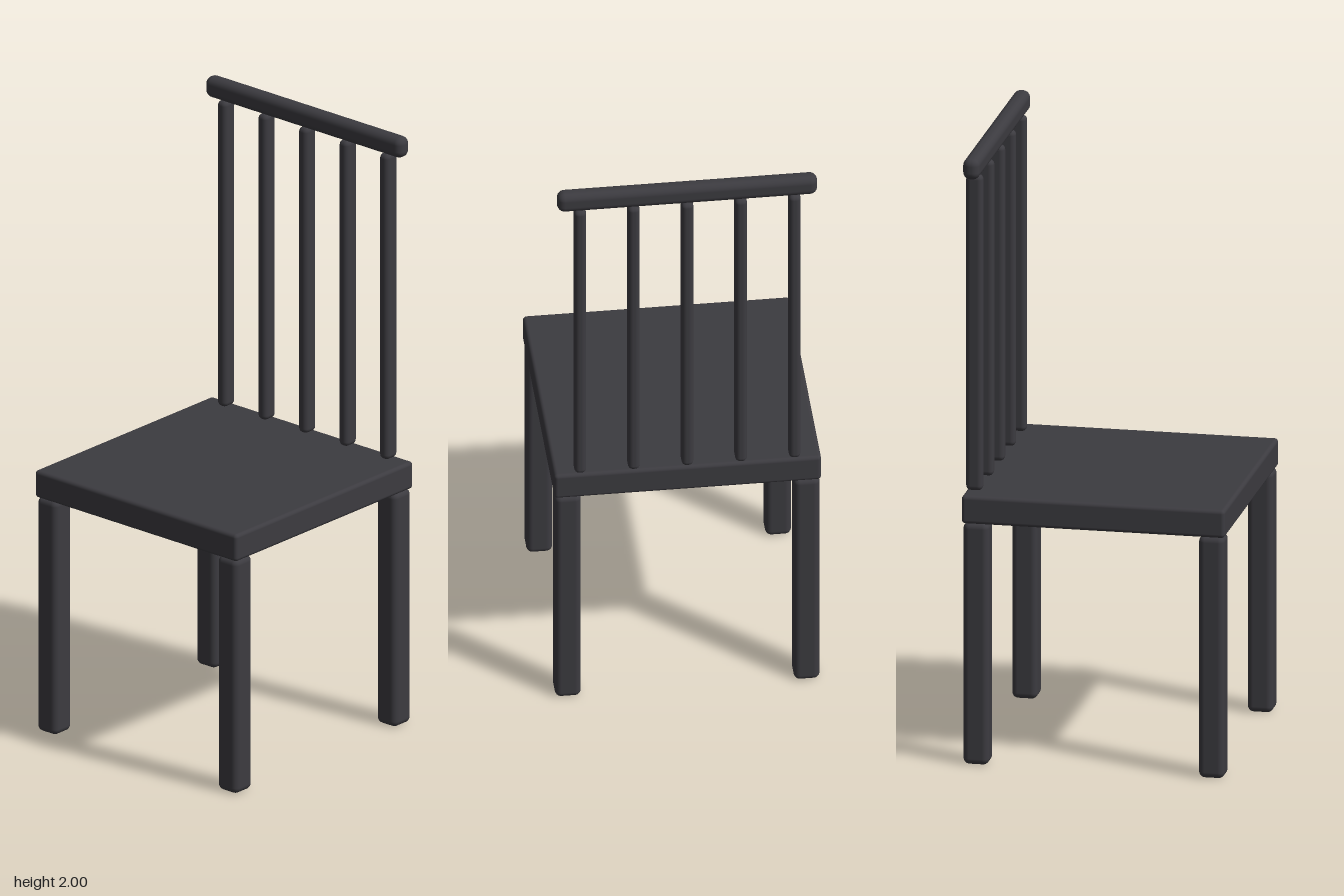
import * as THREE from 'three';
import { RoundedBoxGeometry } from 'three/addons/geometries/RoundedBoxGeometry.js';

export function createModel() {
  const chair = new THREE.Group();
  chair.name = 'chair';
  const paint = new THREE.MeshStandardMaterial({ color: 0x3c3b40 });

  // Rounded bar given by its size, bottom height and centre in x and z
  function addBar(name, [w, h, d], radius, x, bottom, z) {
    const bar = new THREE.Mesh(new RoundedBoxGeometry(w, h, d, 4, radius), paint);
    bar.name = name;
    bar.position.set(x, bottom + h / 2, z);
    chair.add(bar);
  }

  // Square seat slab
  addBar('seat', [0.854, 0.092, 0.854], 0.012, 0, 0.798, 0);

  // Four legs set just inside the seat corners
  for (const [side, sx] of [['Left', 1], ['Right', -1]]) {
    for (const [end, sz] of [['front', 1], ['back', -1]]) {
      addBar(`${end}${side}Leg`, [0.083, 0.8, 0.083], 0.02, sx * 0.382, 0, sz * 0.382);
    }
  }

  // Five upright back spindles
  const backZ = -0.4;
  for (let i = 0; i < 5; i++) {
    addBar(`backSpindle${i + 1}`, [0.038, 1.044, 0.054], 0.016, (i - 2) * 0.1715, 0.889, backZ);
  }

  // Top rail
  addBar('topRail', [0.832, 0.07, 0.054], 0.024, 0, 1.93, backZ);

  return chair;
}
